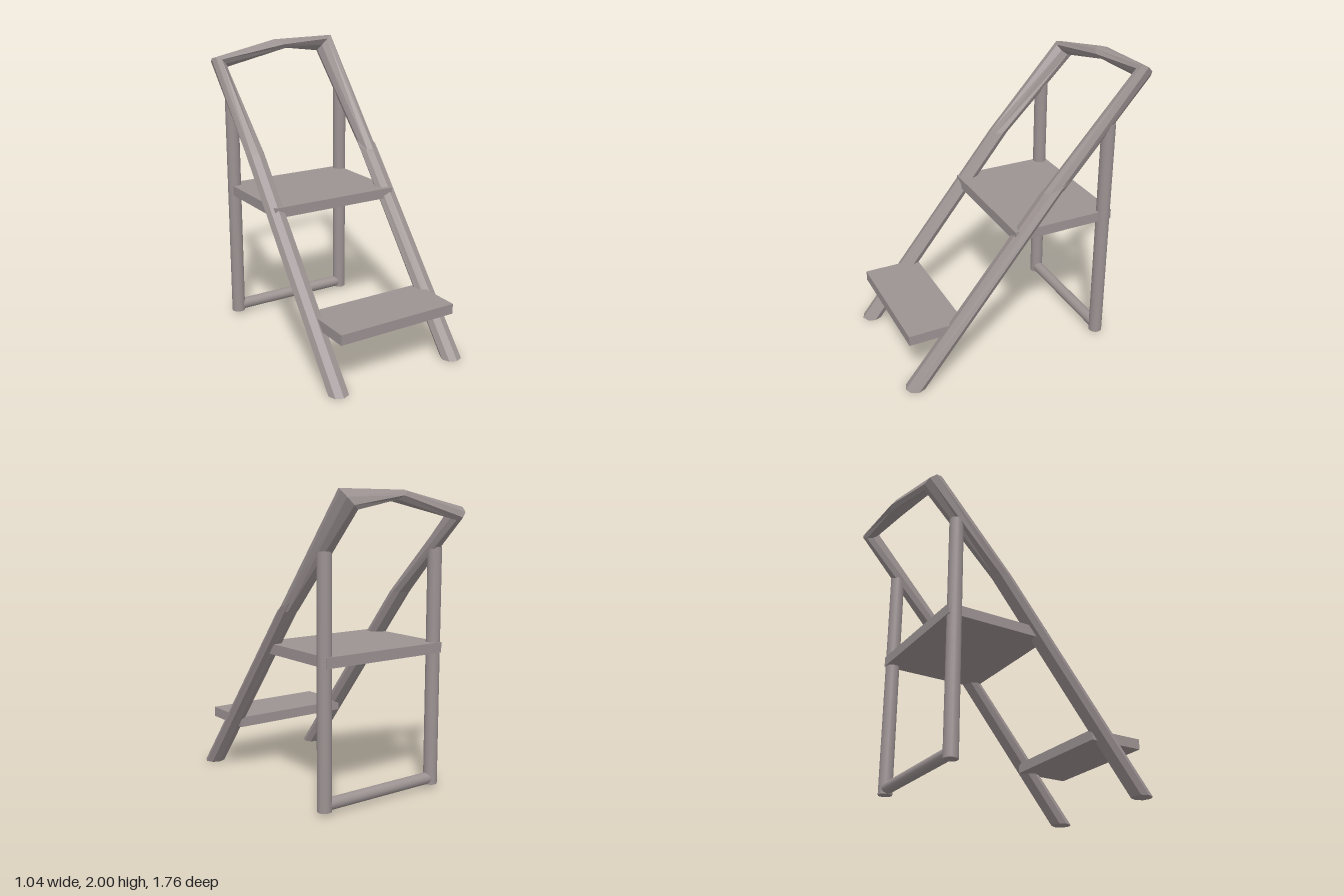
import * as THREE from 'three';

const frameGrey = new THREE.MeshStandardMaterial({ color: 0x9c9292 });
frameGrey.name = 'warm grey';
const railGrey = frameGrey.clone();
railGrey.name = 'warm grey faceted';
railGrey.flatShading = true;

// Lofted eight-sided bar; each ring is [centre, half axis u, half axis v]
function loft(rings, sides = 8) {
  const positions = [];
  const index = [];
  for (const [c, u, v] of rings) {
    for (let j = 0; j < sides; j++) {
      const a = (j / sides) * Math.PI * 2;
      for (let k = 0; k < 3; k++) positions.push(c[k] + u[k] * Math.cos(a) + v[k] * Math.sin(a));
    }
  }
  for (let i = 0; i < rings.length - 1; i++) {
    for (let j = 0; j < sides; j++) {
      const a = i * sides + j;
      const b = i * sides + ((j + 1) % sides);
      index.push(a, a + sides, b, b, a + sides, b + sides);
    }
  }
  // End caps
  const last = (rings.length - 1) * sides;
  for (let j = 1; j < sides - 1; j++) {
    index.push(0, j, j + 1);
    index.push(last, last + j + 1, last + j);
  }
  const geometry = new THREE.BufferGeometry();
  geometry.setAttribute('position', new THREE.Float32BufferAttribute(positions, 3));
  geometry.setIndex(index);
  const flat = geometry.toNonIndexed();
  flat.computeVertexNormals();
  return flat;
}

export function createModel() {
  const group = new THREE.Group();
  group.name = 'stepLadder';

  const add = (name, geometry, material = frameGrey, x = 0, y = 0, z = 0) => {
    const mesh = new THREE.Mesh(geometry, material);
    mesh.name = name;
    mesh.position.set(x, y, z);
    group.add(mesh);
    return mesh;
  };

  // Right rail, bent handle bar and upper left rail in one run
  add('handrailLoop', loft([
    [[-0.45, 0, 0.81], [0.07, 0, 0], [0, 0, 0.07]],
    [[-0.45, 1.31, -0.245], [0.067, 0, 0], [0, 0, 0.067]],
    [[-0.452, 1.855, -0.77], [0.054, -0.035, 0], [0, 0.03, 0.06]],
    [[0.05, 1.96, -0.78], [0.05, -0.034, 0], [0, 0, 0.063]],
    [[0.45, 1.94, -0.82], [-0.055, -0.05, 0], [0, 0.035, 0.058]],
    [[0.447, 1.24, -0.2], [-0.055, 0, 0], [0, 0, 0.073]],
  ]), railGrey);

  // Lower left rail, cut at a slant where the upper rail slides in
  add('lowerLeftRail', loft([
    [[0.447, 0, 0.81], [0.07, 0, 0], [0, 0, 0.07]],
    [[0.447, 1.27, -0.215], [0.07, 0, 0], [0, -0.04, 0.09]],
  ]), railGrey);

  // Treads
  add('platform', new THREE.BoxGeometry(0.94, 0.07, 0.722), frameGrey, -0.005, 0.97, -0.278);
  add('lowerStep', new THREE.BoxGeometry(0.87, 0.07, 0.39), frameGrey, -0.005, 0.365, 0.635);

  // Back legs
  for (const side of [-1, 1]) {
    add(side > 0 ? 'leftBackLeg' : 'rightBackLeg',
      new THREE.CylinderGeometry(0.047, 0.047, 1.61, 16), frameGrey, side * 0.447, 0.83, -0.587);
  }

  // Crossbar joining the feet of the back legs
  const bar = add('backCrossbar', new THREE.CylinderGeometry(0.04, 0.04, 0.88, 16), frameGrey, 0, 0.065, -0.587);
  bar.rotation.z = Math.PI / 2;

  return group;
}
